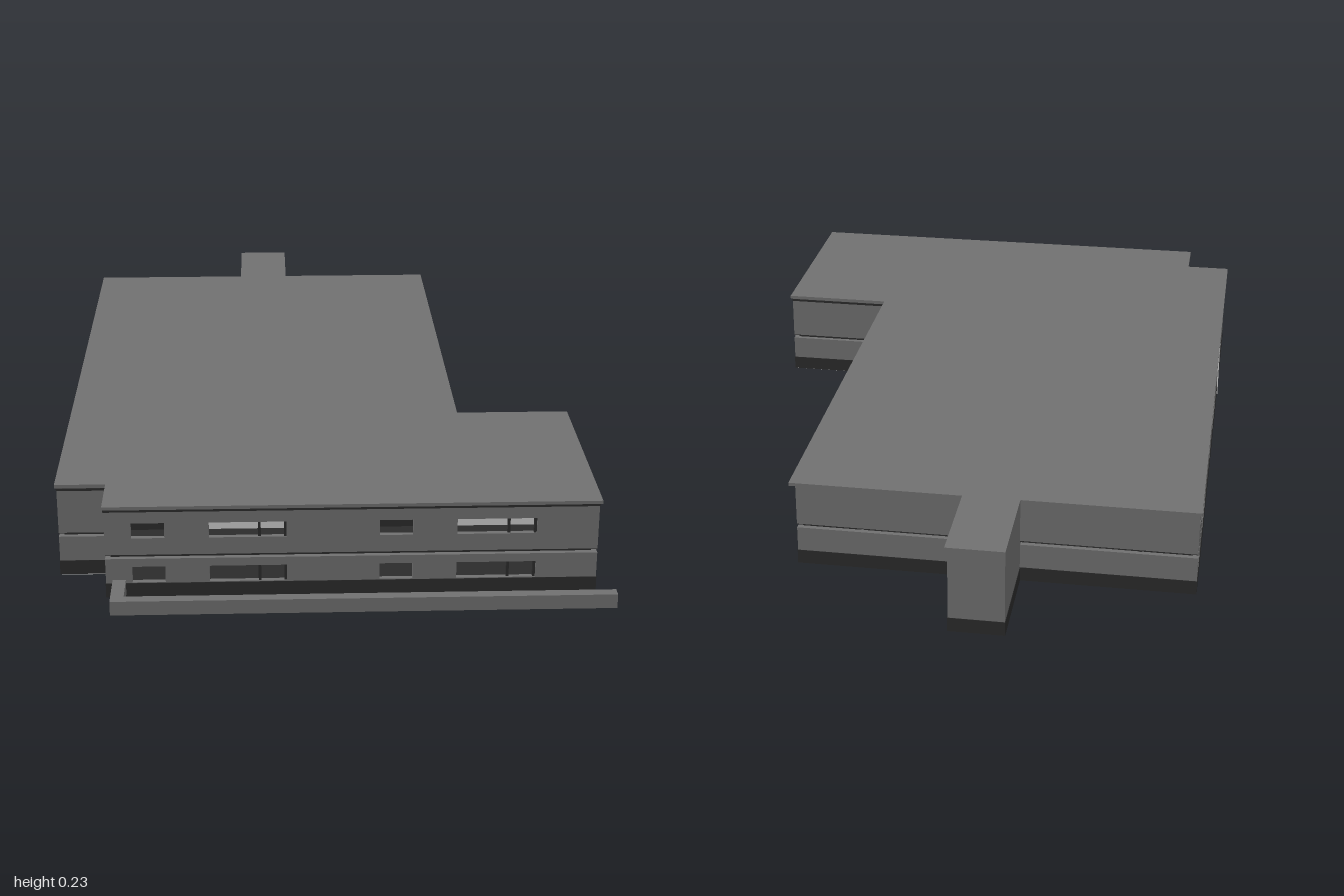
import * as THREE from 'three';

const material = (name, color) => {
  const m = new THREE.MeshStandardMaterial({ color });
  m.name = name;
  return m;
};

// Building outline as [x, z], starting at the front and going towards +x
const OUTLINE = [
  [-0.515, 0.895], [0.6, 0.895], [0.6, 0.365], [0.32, 0.365], [0.32, -0.735], [-0.085, -0.735],
  [-0.085, -0.98], [-0.215, -0.98], [-0.215, -0.735], [-0.63, -0.735], [-0.63, 0.775], [-0.515, 0.775],
];
const ROOF = [
  [-0.518, 0.9], [0.606, 0.9], [0.606, 0.365], [0.33, 0.365], [0.33, -0.758], [-0.082, -0.758],
  [-0.082, -1], [-0.218, -1], [-0.218, -0.758], [-0.635, -0.758], [-0.635, 0.775], [-0.518, 0.775],
];
const MAIN = OUTLINE.filter((p) => p[1] > -0.9); // outline without the rear stair tower
const TOWER_WALLS = [5, 6, 7];

// Window spans along a wall: [start, end, wide]
const SIDE_WINDOWS = [[0.04, 0.12, false], [0.22, 0.395, true], [0.6, 0.68, false], [0.775, 0.965, true]];
const FRONT_WINDOWS = [[0.06, 0.135, false], [0.235, 0.41, true], [0.62, 0.695, false], [0.795, 0.975, true]];
const WINDOWS = { 0: FRONT_WINDOWS, 3: SIDE_WINDOWS, 9: SIDE_WINDOWS };
const STOREYS = [
  { bottom: 0.03, top: 0.099, sill: 0.04, head: 0.079, floor: 0.038, ceiling: 0.1 },
  { bottom: 0.109, top: 0.222, sill: 0.15, head: 0.187, floor: 0.109, ceiling: 0.213 },
];

export function createModel() {
  const group = new THREE.Group();
  const grey = material('concrete grey', 0x707070);
  const dark = material('slab dark grey', 0x2b2b2b);
  const light = material('partition light grey', 0xcccccc);

  const add = (name, geometry, mat, parent = group) => {
    const mesh = new THREE.Mesh(geometry, mat);
    mesh.name = name;
    parent.add(mesh);
    return mesh;
  };

  // Box from its two extreme corners
  const box = (name, mat, [x0, y0, z0], [x1, y1, z1], parent) =>
    add(name, new THREE.BoxGeometry(x1 - x0, y1 - y0, z1 - z0), mat, parent)
      .position.set((x0 + x1) / 2, (y0 + y1) / 2, (z0 + z1) / 2);

  // Flat horizontal slab over an outline
  const slab = (name, mat, outline, y0, y1) => {
    const shape = new THREE.Shape(outline.map(([x, z]) => new THREE.Vector2(x, -z)));
    const geometry = new THREE.ExtrudeGeometry(shape, { depth: y1 - y0, bevelEnabled: false });
    geometry.rotateX(-Math.PI / 2).translate(0, y0, 0);
    add(name, geometry, mat);
  };

  // Outline moved outwards (or inwards when d is negative)
  const grow = (outline, d) => outline.map(([x, z], i) => {
    const n = outline.length;
    const [px, pz] = outline[(i + n - 1) % n];
    const [nx, nz] = outline[(i + 1) % n];
    return [x - d * (Math.sign(z - pz) + Math.sign(nz - z)), z + d * (Math.sign(x - px) + Math.sign(nx - x))];
  });

  // Upright wall from a to b, its outside along local +z, one panel per storey
  const wall = (a, b, windows, storeys) => {
    const along = new THREE.Vector3(b[0] - a[0], 0, b[1] - a[1]);
    const length = along.length();
    along.normalize();
    const up = new THREE.Vector3(0, 1, 0);
    const part = new THREE.Group();
    part.name = 'wall';
    part.quaternion.setFromRotationMatrix(
      new THREE.Matrix4().makeBasis(along, up, new THREE.Vector3().crossVectors(along, up)));
    part.position.set(a[0], 0, a[1]);
    group.add(part);

    const rect = (Kind, x0, y0, x1, y1) => new Kind([[x0, y0], [x1, y0], [x1, y1], [x0, y1]]
      .map(([x, y]) => new THREE.Vector2(x, y)));
    for (const { bottom, top, sill, head, floor, ceiling } of storeys) {
      const shape = rect(THREE.Shape, 0, bottom, length, top);
      for (const [start, end, wide] of windows) {
        shape.holes.push(rect(THREE.Path, start, sill, end, head));
        // Room partition seen through the opening
        box(wide ? 'roomPartition' : 'darkPartition', wide ? light : dark,
          [start - 0.03, floor, -0.136], [end + 0.03, ceiling, -0.13], part);
        if (!wide) continue;
        for (const x of [start + (end - start) * 0.65, end - 0.003]) {
          box('windowPost', dark, [x - 0.003, sill, -0.011], [x + 0.003, head, -0.003], part);
        }
      }
      const geometry = new THREE.ExtrudeGeometry(shape, { depth: 0.012, bevelEnabled: false });
      geometry.translate(0, 0, -0.012);
      add('wallPanel', geometry, grey, part);
    }
  };

  const fullHeight = [{ bottom: 0.03, top: 0.222 }];
  OUTLINE.forEach((p, i) => wall(p, OUTLINE[(i + 1) % OUTLINE.length], WINDOWS[i] ?? [],
    TOWER_WALLS.includes(i) ? fullHeight : STOREYS));

  // Plinth, recessed joint between the storeys with its dark soffit, and roof
  slab('plinth', dark, grow(OUTLINE, 0.001), 0.003, 0.038);
  slab('middleFloor', dark, grow(MAIN, -0.012), 0.097, 0.109);
  slab('jointSoffit', dark, MAIN, 0.1075, 0.109);
  slab('topCeiling', dark, grow(MAIN, 0.001), 0.215, 0.221);
  slab('roof', grey, ROOF, 0.222, 0.23);

  // Corridor and lobby floors on the underside
  box('longCorridorFloor', light, [-0.21, 0, -0.975], [-0.09, 0.006, 0.37], group);
  box('crossCorridorFloor', light, [-0.628, 0, 0.37], [0.598, 0.006, 0.45], group);
  box('lobbyFloor', light, [-0.628, 0, 0.45], [-0.515, 0.006, 0.773], group);
  box('floorJoint', light, [-0.628, 0.001, -0.174], [-0.21, 0.006, -0.168], group);

  // Corridor end doors
  box('wingDoor', light, [0.59, 0.005, 0.395], [0.605, 0.105, 0.44], group);
  box('sideDoorFrame', light, [-0.633, 0.005, 0.369], [-0.62, 0.21, 0.375], group);

  // Low garden wall before the front
  box('frontGardenWall', grey, [-0.5, 0.012, 0.975], [0.632, 0.046, 1], group);
  box('gardenWallReturn', grey, [-0.5, 0.012, 0.89], [-0.47, 0.046, 0.975], group);

  return group;
}
